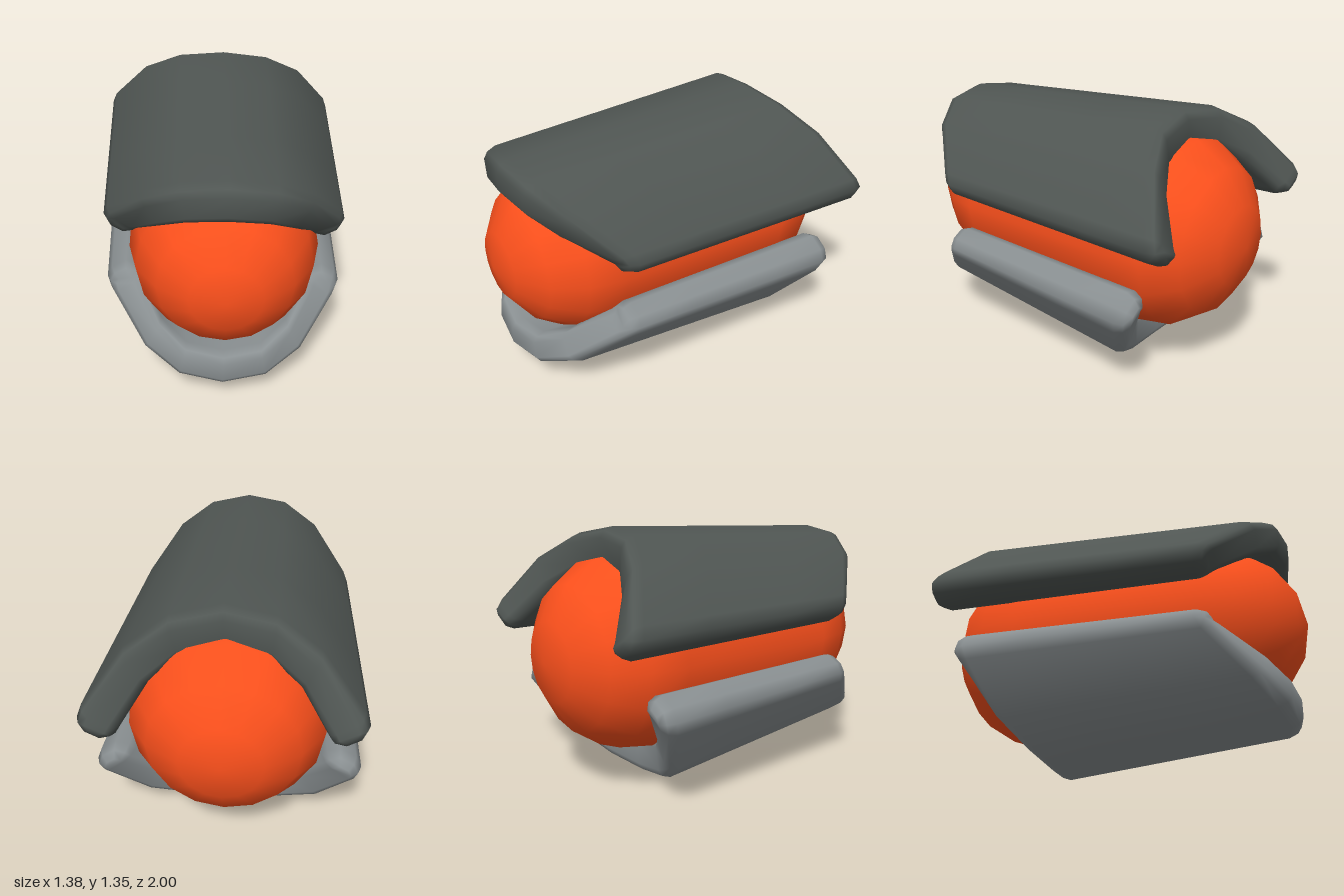
import * as THREE from 'three';

// Half of the shell cross-section: [outer x, outer y, inner x, inner y, front set-back, back overhang]
const STATIONS = [
  [0, 0.56, 0, 0.33, 0, 0],
  [0.255, 0.52, 0.215, 0.3, 0.03, 0.04],
  [0.46, 0.4, 0.36, 0.205, 0.13, 0.14],
  [0.65, 0.16, 0.475, 0.05, 0.33, 0.28],
  [0.672, 0.1, 0.5, 0.012, 0.355, 0.3],
  [0.645, 0.04, 0.565, -0.005, 0.36, 0.3],
];

// Rows along the shell: [position 0 back .. 1 front, distance from the end, section fullness]
const ROWS = [
  [0, 0, 0.5], [0, 0.022, 0.82], [0, 0.07, 1],
  [0.3, 0, 1], [0.5, 0, 1], [0.7, 0, 1],
  [1, -0.07, 1], [1, -0.022, 0.82], [1, 0, 0.5],
];

// Curved, tapering shell with slanted, rounded ends; its rim lies on y = 0
function shellGeometry({ front, back, height, taperX, taperY }) {
  const last = STATIONS.length - 1;
  const loop = [];
  for (const side of ['outer', 'inner']) {
    for (let k = -last; k <= last; k++) {
      const signed = side === 'outer' ? k : -k;
      const s = STATIONS[Math.abs(k)];
      const t = STATIONS[Math.min(Math.abs(k), 3)];
      const sign = Math.sign(signed);
      const o = side === 'outer' ? 0 : 2;
      loop.push({
        x: sign * s[o], y: s[o + 1],
        mx: sign * (t[0] + t[2]) / 2, my: (t[1] + t[3]) / 2,
        zf: front - s[4], zb: back - s[5],
      });
    }
  }
  const n = loop.length;
  const positions = [];
  for (const [along, offset, full] of ROWS) {
    for (const p of loop) {
      const z = THREE.MathUtils.lerp(p.zb, p.zf, along) + offset;
      const taper = (z + 0.6) / 1.45;
      const x = THREE.MathUtils.lerp(p.mx, p.x, full);
      const y = THREE.MathUtils.lerp(p.my, p.y, full);
      positions.push(x * (1 - taperX * taper), y * height * (1 - taperY * taper), z);
    }
  }
  const index = [];
  for (let r = 0; r < ROWS.length - 1; r++) {
    for (let j = 0; j < n; j++) {
      const a = r * n + j, b = r * n + (j + 1) % n;
      index.push(a, a + n, b + n, a, b + n, b);
    }
  }
  // End caps join the outer and inner edges
  const f = (ROWS.length - 1) * n;
  for (let k = 0; k < n / 2 - 1; k++) {
    const o0 = k, o1 = k + 1, i0 = n - 1 - k, i1 = n - 2 - k;
    index.push(f + i0, f + i1, f + o1, f + i0, f + o1, f + o0);
    index.push(i0, o1, i1, i0, o0, o1);
  }
  const geometry = new THREE.BufferGeometry();
  geometry.setAttribute('position', new THREE.Float32BufferAttribute(positions, 3));
  geometry.setIndex(index);
  geometry.computeVertexNormals();
  return geometry;
}

// Capsule along z, slightly thicker towards the back
function coreGeometry(radius, taper) {
  const geometry = new THREE.CapsuleGeometry(radius, 2 - 2 * radius, 4, 16).rotateX(Math.PI / 2);
  const p = geometry.attributes.position;
  for (let i = 0; i < p.count; i++) {
    const s = 1 - taper * p.getZ(i);
    p.setXY(i, p.getX(i) * s, p.getY(i) * s);
  }
  return geometry;
}

export function createModel() {
  const model = new THREE.Group();
  const add = (name, geometry, color, y, roll = 0) => {
    const mesh = new THREE.Mesh(geometry, new THREE.MeshStandardMaterial({ color }));
    mesh.name = name;
    mesh.position.y = y;
    mesh.rotation.z = roll;
    model.add(mesh);
  };
  const tilt = -0.036;

  add('core', coreGeometry(0.505, 0.08), 0xfc501c, 0.71);
  add('upperShell', shellGeometry({ front: 0.93, back: -0.64, height: 1, taperX: 0.13, taperY: 0.12 }),
    0x505653, 0.8, tilt);
  // Lower shell is the same form turned upside down
  add('lowerShell', shellGeometry({ front: 0.93, back: -0.46, height: 1.1, taperX: 0.13, taperY: 0.235 }),
    0x8a9092, 0.6, Math.PI + tilt);
  return model;
}
